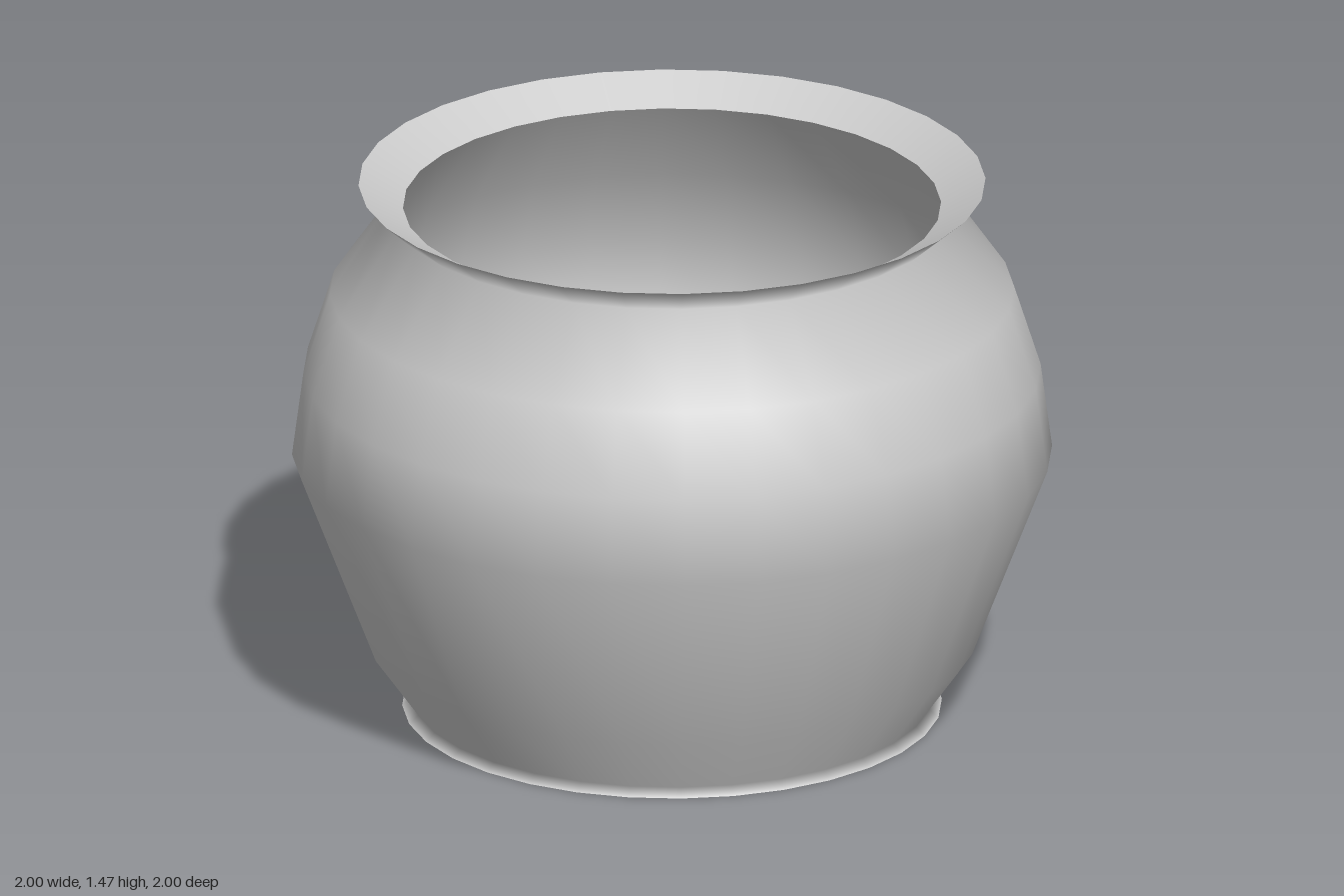
import * as THREE from 'three';

const SEGMENTS = 32;

export function createModel() {
  const model = new THREE.Group();
  model.name = 'pot';
  const material = new THREE.MeshStandardMaterial({ color: 0xcccccc, side: THREE.DoubleSide });

  // Revolve a list of [radius, height] pairs around the y axis
  const addLathe = (name, profile) => {
    const points = profile.map(([r, y]) => new THREE.Vector2(r, y));
    const mesh = new THREE.Mesh(new THREE.LatheGeometry(points, SEGMENTS), material);
    mesh.name = name;
    model.add(mesh);
  };

  // Outer skin: flared foot, round belly, narrow neck
  addLathe('outerWall', [
    [0.71, 0], [0.685, 0.022], [0.8, 0.185], [1, 0.71],
    [0.97, 0.94], [0.9, 1.16], [0.74, 1.39], [0.825, 1.465],
  ]);

  // Inside of the flared lip, from the rim down to the mouth
  addLathe('innerLip', [[0.825, 1.465], [0.708, 1.4]]);

  // Inside of the belly, from the mouth down to the floor
  addLathe('innerWall', [
    [0.708, 1.4], [0.878, 1.15], [0.947, 0.935],
    [0.975, 0.71], [0.778, 0.195], [0.685, 0.022],
  ]);

  // Floor, slightly recessed above the foot
  const floor = new THREE.Mesh(new THREE.CircleGeometry(0.685, SEGMENTS).rotateX(-Math.PI / 2), material);
  floor.position.y = 0.02;
  floor.name = 'floor';
  model.add(floor);

  return model;
}
